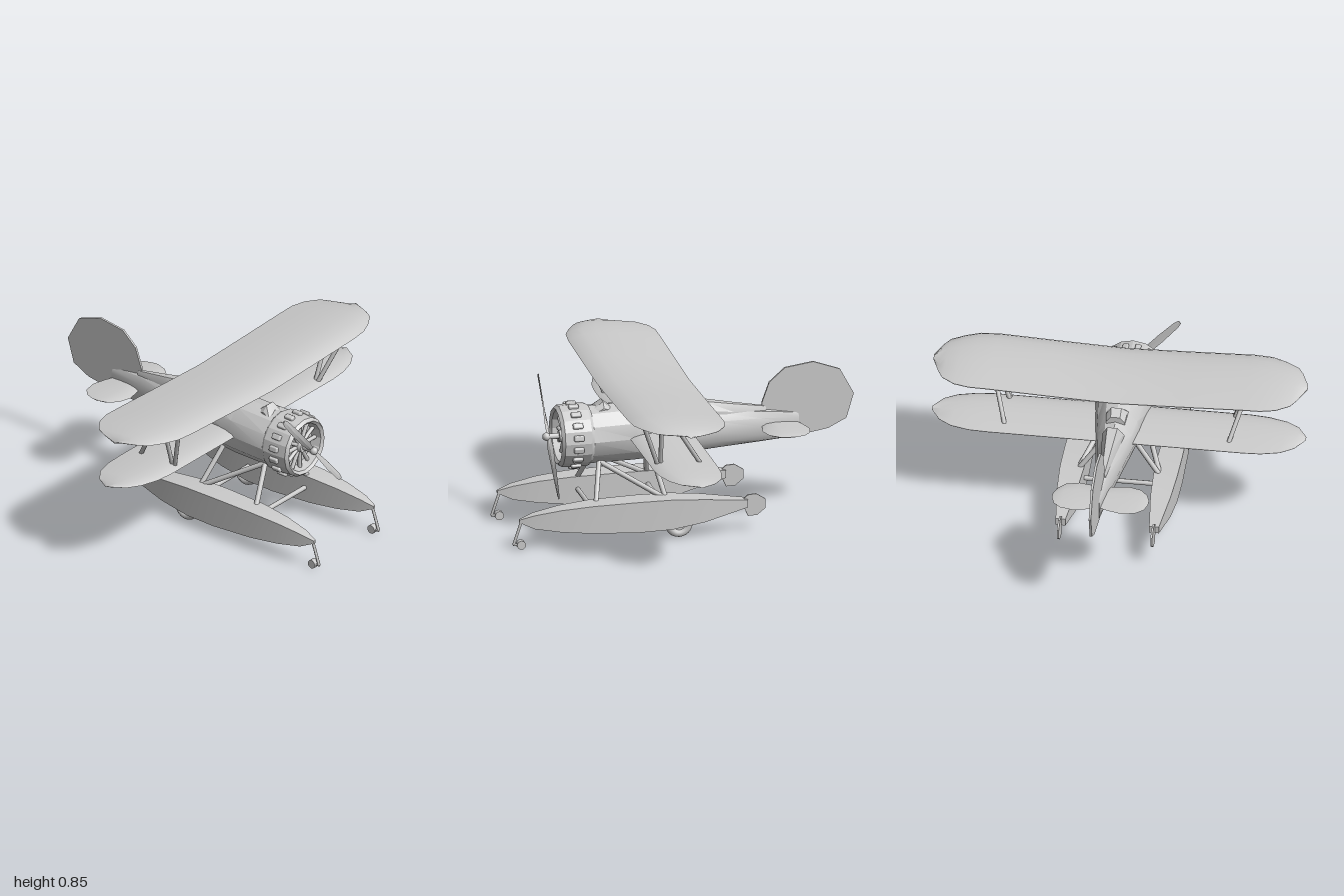
import * as THREE from 'three';
import { toCreasedNormals } from 'three/addons/utils/BufferGeometryUtils.js';
import { RoundedBoxGeometry } from 'three/addons/geometries/RoundedBoxGeometry.js';

const grey = new THREE.MeshStandardMaterial({ color: 0xcccccc, side: THREE.DoubleSide });
const V = (x, y, z) => new THREE.Vector3(x, y, z);

export function createModel() {
  const model = new THREE.Group();

  const add = (name, geometry, parent = model) => {
    const mesh = new THREE.Mesh(geometry, grey);
    mesh.name = name;
    parent.add(mesh);
    return mesh;
  };

  // Skin over a row of equal-length point loops, capped at both ends
  const loft = (rings, crease = 0.5) => {
    const n = rings[0].length;
    const tris = [];
    for (let i = 0; i < rings.length - 1; i++) {
      for (let j = 0; j < n; j++) {
        const k = (j + 1) % n;
        const [a, b, c, d] = [rings[i][j], rings[i][k], rings[i + 1][k], rings[i + 1][j]];
        tris.push([a, b, c], [a, c, d]);
      }
    }
    const first = rings[0], last = rings[rings.length - 1];
    for (let j = 1; j < n - 1; j++) {
      tris.push([first[0], first[j + 1], first[j]], [last[0], last[j], last[j + 1]]);
    }
    // Turn the faces outward
    let volume = 0;
    for (const [a, b, c] of tris) volume += a.dot(b.clone().cross(c));
    if (volume < 0) tris.forEach((t) => t.reverse());
    const g = new THREE.BufferGeometry().setFromPoints(tris.flat());
    return toCreasedNormals(g, crease);
  };

  // Round bar between two points
  const bar = (name, a, b, r = 0.012, parent = model) => {
    const mesh = add(name, new THREE.CylinderGeometry(r, r, a.distanceTo(b), 8), parent);
    mesh.position.copy(a).lerp(b, 0.5);
    mesh.quaternion.setFromUnitVectors(V(0, 1, 0), b.clone().sub(a).normalize());
    return mesh;
  };

  // Flat plate from a side outline of [z, y] points
  const plate = (points, thickness) => {
    const shape = new THREE.Shape(points.map(([z, y]) => new THREE.Vector2(z, y)));
    const g = new THREE.ExtrudeGeometry(shape, { depth: thickness, bevelEnabled: false });
    return g.translate(0, 0, -thickness / 2).rotateY(-Math.PI / 2);
  };

  // Wing from half-span stations [x, y, zFront, zRear, thickness]
  const wing = (name, stations, profile, drop) => {
    const mirrored = stations.slice(1).reverse().map(([x, ...r]) => [-x, ...r]);
    const rings = [...mirrored, ...stations].map(([x, y, zf, zr, th]) =>
      profile.map(([t, h]) => V(x, y + h * th - drop * t, zf + (zr - zf) * t)));
    return add(name, loft(rings, 0.7));
  };
  const cambered = [[0, 0], [0.06, 0.5], [0.18, 0.88], [0.33, 1], [0.55, 0.85], [0.8, 0.45], [1, 0.05],
    [1, -0.05], [0.6, -0.05], [0.25, -0.2], [0.06, -0.25]];
  const symmetric = [[0, 0], [0.12, 0.4], [0.35, 0.5], [0.7, 0.3], [1, 0], [0.7, -0.3], [0.35, -0.5], [0.12, -0.4]];

  wing('upperWing', [
    [0, 0.795, 0.43, -0.07, 0.032], [0.35, 0.807, 0.43, -0.07, 0.034], [0.68, 0.82, 0.43, -0.07, 0.035],
    [0.78, 0.822, 0.42, -0.07, 0.033], [0.86, 0.822, 0.385, -0.05, 0.028], [0.93, 0.822, 0.34, 0, 0.02],
    [0.96, 0.821, 0.29, 0.06, 0.013], [1, 0.82, 0.19, 0.165, 0.003],
  ], cambered, 0.014);
  wing('lowerWing', [
    [0, 0.531, 0.29, -0.06, 0.022], [0.68, 0.531, 0.29, -0.06, 0.024], [0.78, 0.531, 0.28, -0.055, 0.023],
    [0.88, 0.532, 0.25, -0.03, 0.018], [0.95, 0.532, 0.205, 0.02, 0.012], [1, 0.532, 0.125, 0.105, 0.003],
  ], cambered, 0.008);
  wing('tailplane', [
    [0, 0.51, -0.46, -0.65, 0.026], [0.05, 0.51, -0.45, -0.67, 0.026], [0.13, 0.51, -0.435, -0.69, 0.026],
    [0.2, 0.51, -0.455, -0.675, 0.022], [0.24, 0.51, -0.5, -0.64, 0.014], [0.257, 0.51, -0.55, -0.59, 0.003],
  ], symmetric, 0);

  // Fuselage: twelve-sided sections [z, bottom, top, half width]
  const body = [
    [0.5, 0.37, 0.685, 0.158], [0.25, 0.37, 0.69, 0.15], [0.05, 0.38, 0.665, 0.122], [-0.04, 0.386, 0.625, 0.105],
    [-0.2, 0.396, 0.62, 0.08], [-0.45, 0.413, 0.6, 0.042], [-0.66, 0.43, 0.57, 0.01],
  ].map(([z, lo, hi, w]) => Array.from({ length: 12 }, (_, i) => {
    const a = (i / 12) * Math.PI * 2;
    return V(w * Math.sin(a), (lo + hi) / 2 + ((hi - lo) / 2) * Math.cos(a), z);
  }));
  add('fuselage', loft(body));

  // Humps on the spine
  const hump = (name, sections) => add(name, loft(sections.map(([z, lo, hi, w]) =>
    [V(-w, lo, z), V(-w, (lo + hi) / 2, z), V(-w * 0.5, hi, z), V(w * 0.5, hi, z), V(w, (lo + hi) / 2, z), V(w, lo, z)])));
  hump('headrest', [[-0.09, 0.58, 0.615, 0.06], [-0.135, 0.58, 0.67, 0.055], [-0.3, 0.56, 0.64, 0.035], [-0.48, 0.56, 0.61, 0.015]]);
  hump('windshield', [[0.06, 0.63, 0.66, 0.06], [0.015, 0.61, 0.695, 0.055], [-0.025, 0.6, 0.66, 0.05]]);
  hump('noseHump', [[0.46, 0.65, 0.675, 0.065], [0.41, 0.65, 0.712, 0.055], [0.37, 0.65, 0.68, 0.05]]);

  // Fin and rudder
  add('fin', plate([[-0.46, 0.56], [-0.46, 0.63], [-0.5, 0.74], [-0.585, 0.815], [-0.74, 0.837], [-0.885, 0.785],
    [-0.96, 0.645], [-0.92, 0.51], [-0.82, 0.46], [-0.65, 0.432]], 0.012));

  // Engine cowling with a ring of bumps, open at the front
  const engine = new THREE.Group();
  engine.name = 'engine';
  engine.position.y = 0.53;
  model.add(engine);
  const cowl = new THREE.LatheGeometry([[0.12, 0.58], [0.135, 0.65], [0.15, 0.662], [0.165, 0.645], [0.17, 0.575],
    [0.168, 0.5], [0.158, 0.485], [0.1, 0.485]].map(([r, z]) => new THREE.Vector2(r, z)), 16);
  add('cowling', toCreasedNormals(cowl.rotateX(Math.PI / 2), 0.35), engine);
  const back = add('crankcasePlate', new THREE.CylinderGeometry(0.14, 0.14, 0.02, 16).rotateX(Math.PI / 2), engine);
  back.position.z = 0.585;
  for (let i = 0; i < 16; i++) {
    const a = ((i + 0.5) / 16) * Math.PI * 2;
    const bump = add('cowlingBump', new RoundedBoxGeometry(0.032, 0.03, 0.055, 2, 0.008), engine);
    bump.position.set(0.167 * Math.sin(a), 0.167 * Math.cos(a), 0.573);
    bump.rotation.z = -a;
  }
  for (let i = 0; i < 12; i++) {
    const a = (i / 12) * Math.PI * 2;
    bar('engineCylinder', V(0, 0, 0.615), V(0.132 * Math.sin(a), 0.132 * Math.cos(a), 0.615), 0.011, engine);
  }
  add('crankcase', new THREE.CylinderGeometry(0.03, 0.04, 0.05, 12).rotateX(Math.PI / 2), engine).position.z = 0.62;
  bar('propellerShaft', V(0, 0, 0.6), V(0, 0, 0.715), 0.016, engine);
  add('propellerHub', new THREE.SphereGeometry(0.022, 12, 8), engine).position.z = 0.712;

  // Two twisted propeller blades
  const propeller = new THREE.Group();
  propeller.name = 'propeller';
  propeller.position.z = 0.7;
  propeller.rotation.z = 0.725;
  engine.add(propeller);
  for (const s of [0, 1]) {
    const rings = [[0, 0.012, 0.9], [0.06, 0.02, 0.7], [0.2, 0.021, 0.35], [0.33, 0.017, 0.15], [0.36, 0.01, 0.1]]
      .map(([y, w, twist]) => [[-w, 0], [0, 0.004], [w, 0], [0, -0.004]].map(([x, z]) =>
        V(x * Math.cos(twist) - z * Math.sin(twist), y, x * Math.sin(twist) + z * Math.cos(twist))));
    add('propellerBlade', loft(rings), propeller).rotation.z = s * Math.PI;
  }

  bar('centreStrut', V(0, 0.66, 0.25), V(0, 0.81, 0.25), 0.005);

  for (const s of [1, -1]) {
    // Struts between the wings
    bar('wingStrutFront', V(s * 0.7, 0.825, 0.36), V(s * 0.6, 0.535, 0.25));
    bar('wingStrutMiddle', V(s * 0.7, 0.83, 0.25), V(s * 0.6, 0.535, 0.235));
    bar('wingStrutRear', V(s * 0.7, 0.83, 0.21), V(s * 0.6, 0.53, 0.02));

    // Struts down to the floats
    bar('floatStrutFront', V(s * 0.08, 0.4, 0.445), V(s * 0.22, 0.21, 0.495), 0.014);
    bar('floatStrutDiagonal', V(s * 0.08, 0.4, 0.445), V(s * 0.22, 0.21, 0.115), 0.014);
    bar('floatStrutRear', V(s * 0.07, 0.41, 0.155), V(s * 0.22, 0.21, 0.115), 0.014);

    const float = new THREE.Group();
    float.name = s > 0 ? 'leftFloat' : 'rightFloat';
    float.position.x = s * 0.25;
    model.add(float);
    // Square-sectioned hull [z, bottom, top, half width]
    const hull = [
      [0.92, 0.15, 0.165, 0.008], [0.84, 0.115, 0.19, 0.028], [0.7, 0.092, 0.213, 0.046], [0.53, 0.076, 0.227, 0.06],
      [0.28, 0.063, 0.232, 0.065], [0.1, 0.066, 0.231, 0.064], [-0.08, 0.09, 0.216, 0.054], [-0.32, 0.145, 0.185, 0.026],
    ].map(([z, lo, hi, w]) => [V(-w, lo, z), V(w, lo, z), V(w, hi, z), V(-w, hi, z)]);
    add('hull', loft(hull), float);
    add('waterRudder', plate([[-0.3, 0.145], [-0.3, 0.185], [-0.325, 0.207], [-0.37, 0.21], [-0.42, 0.178], [-0.42, 0.128],
      [-0.375, 0.092], [-0.325, 0.09]], 0.01), float);

    // Main wheel under the hull
    const tyre = add('mainTyre', new THREE.TorusGeometry(0.053, 0.022, 10, 24).rotateY(Math.PI / 2), float);
    tyre.position.set(0, 0.076, 0.05);
    const disc = add('mainWheelDisc', new THREE.CylinderGeometry(0.045, 0.045, 0.018, 20).rotateZ(Math.PI / 2), float);
    disc.position.copy(tyre.position);
    bar('mainAxle', V(-0.025, 0.076, 0.05), V(0.025, 0.076, 0.05), 0.014, float);

    // Nose leg with its small wheel
    bar('noseLeg', V(0, 0.16, 0.905), V(0, 0.027, 0.95), 0.008, float);
    bar('noseFork', V(0, 0.027, 0.952), V(0, 0.027, 0.91), 0.007, float);
    bar('noseWheel', V(-0.016, 0.026, 0.91), V(0.016, 0.026, 0.91), 0.024, float).geometry =
      new THREE.CylinderGeometry(0.024, 0.024, 0.032, 16);
  }

  // Spreader bars between the floats
  for (const z of [0.495, 0.115]) bar('spreaderBar', V(-0.22, 0.157, z), V(0.22, 0.157, z), 0.013);

  return model;
}
